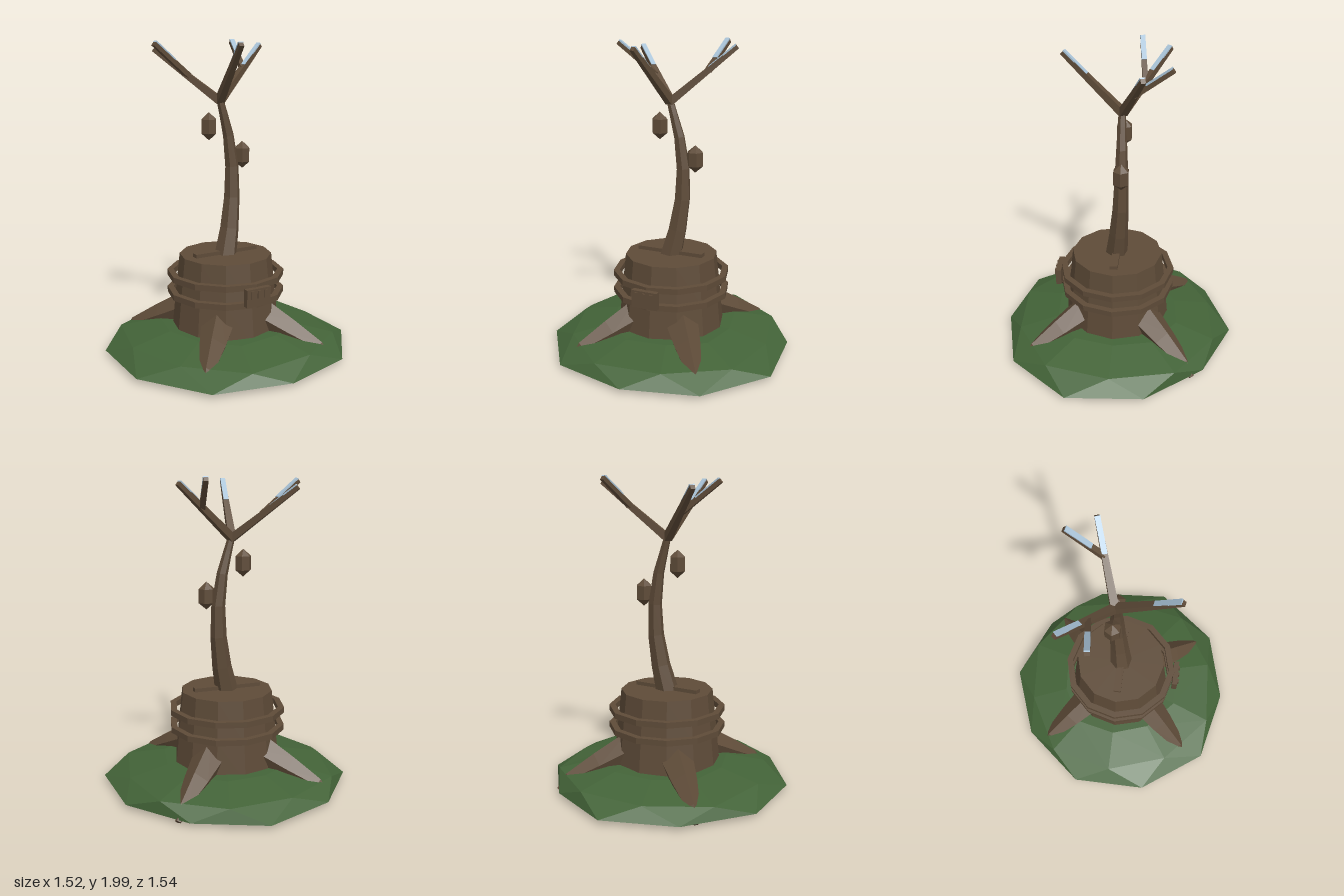
import * as THREE from 'three';

const material = (name, color) => {
  const m = new THREE.MeshStandardMaterial({ color, flatShading: true, side: THREE.DoubleSide });
  m.name = name;
  return m;
};
const V = (p) => new THREE.Vector3(p[0], p[1], p[2]);

// Surface joining equal-sized rings of points, optionally closed at both ends
function loft(rings, startCap, endCap) {
  const n = rings[0].length;
  const pos = rings.flat().flatMap((p) => [p.x, p.y, p.z]);
  const idx = [];
  for (let i = 0; i < rings.length - 1; i++) {
    for (let j = 0; j < n; j++) {
      const a = i * n + j, b = i * n + (j + 1) % n;
      idx.push(a, b, a + n, b, b + n, a + n);
    }
  }
  const cap = (p, base, flip) => {
    const c = pos.length / 3;
    pos.push(p.x, p.y, p.z);
    for (let j = 0; j < n; j++) {
      const a = base + j, b = base + (j + 1) % n;
      idx.push(c, flip ? b : a, flip ? a : b);
    }
  };
  if (startCap) cap(startCap, 0, true);
  if (endCap) cap(endCap, (rings.length - 1) * n, false);
  const g = new THREE.BufferGeometry();
  g.setAttribute('position', new THREE.Float32BufferAttribute(pos, 3));
  g.setIndex(idx);
  g.computeVertexNormals();
  return g;
}

// Tapered limb through stations [x, y, z, radius]
function limb(stations, sides, ref = new THREE.Vector3(0, 1, 0), twist = Math.PI / 4) {
  const pts = stations.map(V);
  const rings = pts.map((p, i) => {
    const t = pts[Math.min(i + 1, pts.length - 1)].clone().sub(pts[Math.max(i - 1, 0)]).normalize();
    const u = ref.clone().cross(t).normalize();
    const v = t.clone().cross(u);
    return Array.from({ length: sides }, (_, j) => {
      const a = twist + (j / sides) * Math.PI * 2, r = stations[i][3];
      return p.clone().addScaledVector(u, Math.cos(a) * r).addScaledVector(v, Math.sin(a) * r);
    });
  });
  return loft(rings, pts[0], pts[pts.length - 1]);
}

const lathe = (profile, sides) =>
  new THREE.LatheGeometry(profile.map(([r, y]) => new THREE.Vector2(r, y)), sides);

export function createModel() {
  const model = new THREE.Group();
  model.name = 'stumpTree';
  const bark = material('bark', 0x5e4b38);
  const grass = material('grass', 0x436338);
  const frost = material('frost', 0xa8c2d6);
  const add = (name, geometry, mat, x = 0, y = 0, z = 0) => {
    const mesh = new THREE.Mesh(geometry, mat);
    mesh.name = name;
    mesh.position.set(x, y, z);
    model.add(mesh);
    return mesh;
  };

  // Grassy mound: irregular ten-sided rim, two rings inside it
  const rim = [[0, 0.77], [0.46, 0.65], [0.765, 0.265], [0.73, -0.225], [0.43, -0.59],
    [0, -0.775], [-0.45, -0.61], [-0.76, -0.23], [-0.76, 0.255], [-0.475, 0.66]];
  const ring = (r, y, wobble) => rim.map((_, j) => {
    const a = ((j + 0.5) / 10) * Math.PI * 2, k = r + wobble * Math.sin(j * 2.3);
    return new THREE.Vector3(Math.sin(a) * k, y + wobble * 0.2 * Math.cos(j * 1.7), Math.cos(a) * k);
  });
  add('mound', loft([rim.map(([x, z]) => new THREE.Vector3(x, 0.04, z)),
    ring(0.68, 0.118, 0.03), ring(0.42, 0.175, 0.02)], null, new THREE.Vector3(0, 0.18, 0)), grass);

  // Stump with an open foot
  add('stump', lathe([[0.315, 0.18], [0.315, 0.13], [0.35, 0.13], [0.325, 0.38],
    [0.297, 0.64], [0, 0.64]], 12), bark, -0.008, 0, 0.008);

  // Roots running out and down through the mound
  for (const [x, z] of [[0.37, 0.52], [-0.41, 0.48], [-0.48, -0.48], [0.42, -0.45]]) {
    const d = Math.hypot(x, z);
    const path = [[0.2, 0.27, 0.12], [0.45, 0.165, 0.085], [0.64, 0.09, 0.045], [0.71, 0.025, 0.018]];
    add('root', limb(path.map(([r, y, w]) => [(x / d) * r, y, (z / d) * r, w]), 5,
      undefined, Math.PI / 2), bark);
  }

  // Two hoops around the stump
  for (const y of [0.38, 0.495]) {
    add('hoop', lathe([[0.338, y], [0.378, y], [0.378, y + 0.037], [0.338, y + 0.037], [0.338, y]], 12),
      bark, -0.008, 0, 0.008);
  }

  // Front plate with three small bars
  add('frontPlate', new THREE.BoxGeometry(0.17, 0.112, 0.035), bark, -0.01, 0.458, 0.397);
  for (const x of [-0.06, -0.01, 0.038]) {
    add('plateBar', new THREE.BoxGeometry(0.02, 0.05, 0.012), bark, x, 0.478, 0.418);
  }

  // Plank across the stump top
  add('plank', new THREE.BoxGeometry(0.45, 0.028, 0.05), bark, -0.01, 0.65, 0.01);

  // Curved trunk
  add('trunk', limb([[-0.01, 0.62, 0.012, 0.075], [0.03, 0.8, -0.005, 0.062], [0.057, 1.0, -0.02, 0.052],
    [0.06, 1.2, -0.025, 0.044], [0.033, 1.4, -0.025, 0.035], [-0.005, 1.54, -0.022, 0.027],
    [-0.033, 1.64, -0.022, 0.022]], 6, new THREE.Vector3(0, 0, 1)), bark);

  // Branches: start, end, start radius, where the frost begins
  const fork = [-0.03, 1.62, -0.025];
  const branches = [
    [fork, [-0.35, 1.935, -0.295], 0.034, 0.62],
    [[-0.18, 1.77, -0.15], [-0.435, 1.97, -0.112], 0.024, 0.45],
    [fork, [0.355, 1.96, -0.168], 0.034, 0.6],
    [[0.19, 1.815, -0.11], [0.238, 1.985, -0.33], 0.024, 0.35],
    [fork, [-0.1, 1.965, 0.345], 0.034, 0.62],
  ];
  for (const [from, to, radius, start] of branches) {
    add('branch', limb([[...from, radius], [...to, 0.02]], 4), bark);
    // Thin frost strip on the upper face of the outer end
    const a = V(from).lerp(V(to), start), b = V(to);
    const strip = add('frostStrip', new THREE.BoxGeometry(0.032, 0.009, a.distanceTo(b)), frost);
    strip.position.copy(a).lerp(b, 0.5);
    strip.lookAt(b);
    strip.translateY(0.016);
  }

  // Hanging pods
  for (const [x, y] of [[-0.105, 1.463], [0.14, 1.268]]) {
    const pod = add('pod', new THREE.SphereGeometry(1, 6, 3), bark, x, y, -0.03);
    pod.scale.set(0.06, 0.088, 0.06);
  }

  return model;
}
